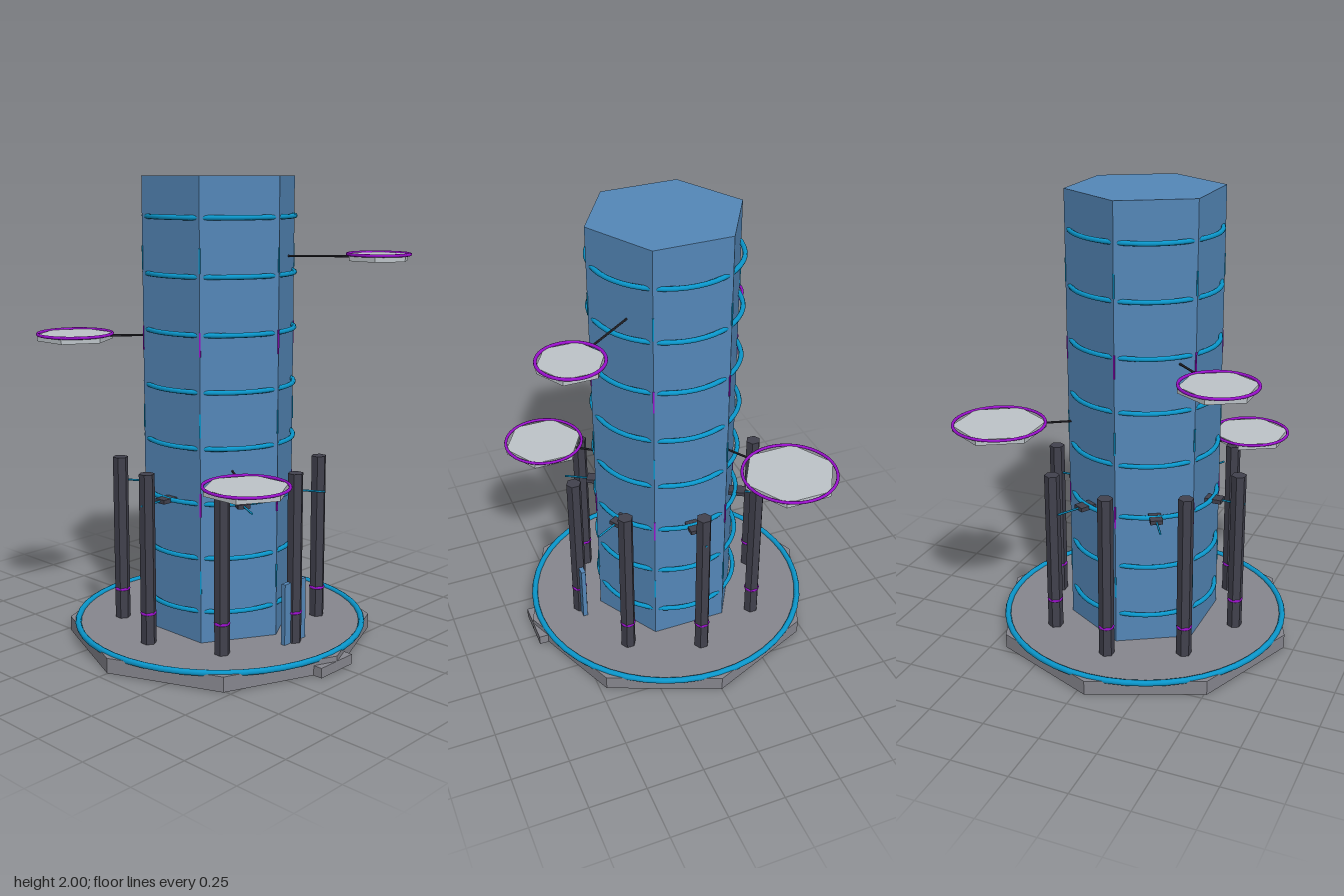
import * as THREE from 'three';

const mat = (name, color, flatShading = false) =>
  Object.assign(new THREE.MeshStandardMaterial({ color }), { name, flatShading });

export function createModel() {
  const model = new THREE.Group();
  model.name = 'hexTower';
  const tower = new THREE.Group(); // everything radial shares the tower axis
  tower.name = 'towerAssembly';
  tower.position.x = -0.04;
  model.add(tower);

  const blue = mat('towerBlue', 0x5487b8, true);
  const stone = mat('baseGrey', 0x86868e, true);
  const dark = mat('darkMetal', 0x41414d, true);
  const armDark = mat('armBlack', 0x2b2b32, true);
  const cyan = mat('cyanTrim', 0x0a97cc);
  const purple = mat('purpleTrim', 0x9a10cc);
  const silver = mat('padSilver', 0xbdc4c8, true);

  const add = (name, geometry, material, x = 0, y = 0, z = 0, parent = tower) => {
    const mesh = new THREE.Mesh(geometry, material);
    mesh.name = name;
    mesh.position.set(x, y, z);
    parent.add(mesh);
    return mesh;
  };
  const prism = (r, h, sides) => new THREE.CylinderGeometry(r, r, h, sides);
  const ring = (r, tube, segments = 32) =>
    new THREE.TorusGeometry(r, tube, 8, segments).rotateX(Math.PI / 2);
  // Straight rod between two points
  const rod = (a, b, r) => {
    const dir = b.clone().sub(a);
    const q = new THREE.Quaternion().setFromUnitVectors(
      new THREE.Vector3(0, 1, 0), dir.clone().normalize());
    const mid = a.clone().add(b).multiplyScalar(0.5);
    return new THREE.CylinderGeometry(r, r, dir.length(), 6)
      .applyQuaternion(q).translate(mid.x, mid.y, mid.z);
  };

  // Octagonal base with its glowing rim and entrance step
  add('base', prism(0.667, 0.065, 8), stone, 0, 0.0345, 0);
  add('baseRim', ring(0.63, 0.0133, 48), cyan, 0, 0.067, 0);
  add('entranceStep', new THREE.BoxGeometry(0.2, 0.043, 0.133), stone, 0, 0.0225, 0.6);
  add('entranceDoor', new THREE.BoxGeometry(0.133, 0.267, 0.02), blue, 0, 0.2, 0.43);

  // Hexagonal shaft and its evenly spaced hoops
  add('shaft', prism(0.333, 2, 6), blue, 0, 1, 0);
  for (let i = 0; i < 8; i++) {
    add('shaftHoop', ring(0.3167, 0.0105, 48), cyan, 0, 0.2035 + i * 0.2333, 0);
  }

  // Thin light strips along the six shaft corners
  const strip = new THREE.BoxGeometry(0.007, 0.1, 0.008);
  for (let level = 1; level <= 5; level++) {
    for (let i = 0; i < 6; i++) {
      const a = (i * Math.PI) / 3;
      const s = add('cornerLight', strip, level % 2 ? cyan : purple,
        Math.sin(a) * 0.3305, level / 3, Math.cos(a) * 0.3305);
      s.rotation.y = a;
    }
  }

  // Ring of eight columns with purple bands
  for (let i = 0; i < 8; i++) {
    const a = (i * Math.PI) / 4;
    const x = Math.sin(a) * 0.433, z = Math.cos(a) * 0.433;
    add('column', prism(0.0333, 0.8, 6), dark, x, 0.4, z);
    add('columnBand', ring(0.0275, 0.007, 16), purple, x, 0.2, z);
  }

  // Flat emitters on the shaft faces, each with an outward rod
  for (let i = 0; i < 6; i++) {
    const emitter = new THREE.Group();
    emitter.name = 'emitter';
    emitter.position.y = 0.668;
    emitter.rotation.y = (i * Math.PI) / 3;
    tower.add(emitter);
    add('emitterBody', new THREE.BoxGeometry(0.08, 0.018, 0.053), dark, 0.322, 0, 0, emitter);
    add('emitterRod', rod(new THREE.Vector3(0.33, 0, 0), new THREE.Vector3(0.465, 0, 0), 0.0045),
      cyan, 0, 0, 0, emitter);
  }

  // Floating landing pads: x, y, z from the tower axis, radius
  const pads = [
    [-0.465, 1.333, -0.4, 0.16],
    [0.535, 1.0, -0.336, 0.2],
    [-0.335, 0.8, 0.465, 0.1755],
    [0.4, 1.667, 0.533, 0.133],
  ];
  for (const [x, y, z, r] of pads) {
    add('landingPad', prism(r, 0.0267, 6), silver, x, y, z);
    add('landingPadRim', ring(r - 0.003, 0.0067, 40), purple, x, y + 0.0133, z);
    const dist = Math.hypot(x, z);
    const at = (d) => new THREE.Vector3((x / dist) * d, y + 0.003, (z / dist) * d);
    add('landingPadArm', rod(at(0.27), at(dist - r * 0.8), 0.005), armDark);
  }

  return model;
}
